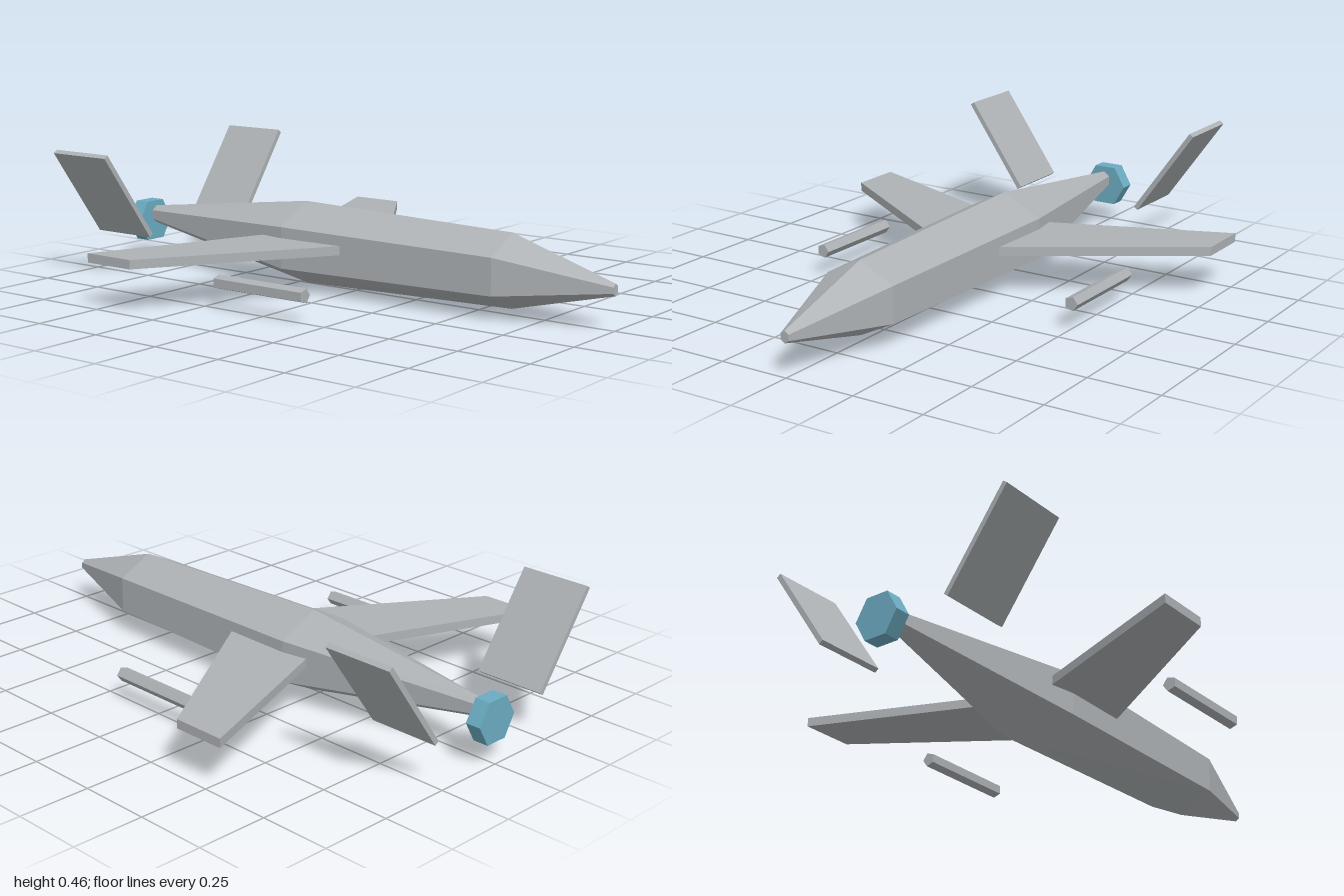
import * as THREE from 'three';

const grey = new THREE.MeshStandardMaterial({ color: 0xaeb2b5, flatShading: true });
grey.name = 'hull grey';
const teal = new THREE.MeshStandardMaterial({ color: 0x6cacc2, flatShading: true });
teal.name = 'engine teal';

function part(name, geometry, material) {
  const mesh = new THREE.Mesh(geometry, material);
  mesh.name = name;
  return mesh;
}

// Six-sided hull lofted through sections [z, centreY, halfWidth, halfHeight], nose to tail
function hullGeometry(sections) {
  const sides = 6;
  const rings = sections.map(([z, cy, hw, hh]) =>
    Array.from({ length: sides }, (_, i) => {
      const a = (i / sides) * Math.PI * 2;
      return [Math.sin(a) * hw / Math.sin(Math.PI / 3), cy + Math.cos(a) * hh, z];
    }));
  const pos = [];
  const tri = (...corners) => corners.forEach((c) => pos.push(...c));
  const last = rings.length - 1;
  const centre = (s) => [0, sections[s][1], sections[s][0]];
  for (let i = 0; i < sides; i++) {
    const j = (i + 1) % sides;
    for (let s = 0; s < last; s++) {
      const a = rings[s], b = rings[s + 1];
      tri(a[i], a[j], b[i]);
      tri(a[j], b[j], b[i]);
    }
    tri(centre(0), rings[0][j], rings[0][i]);
    tri(centre(last), rings[last][i], rings[last][j]);
  }
  const g = new THREE.BufferGeometry();
  g.setAttribute('position', new THREE.Float32BufferAttribute(pos, 3));
  g.computeVertexNormals();
  return g;
}

// Swept flat wing, outlined in plan as [x, z] and extruded upward
function wingGeometry(side) {
  const outline = [[0.137, 0.035], [0.735, -0.36], [0.735, -0.55], [0.13, -0.31]];
  const shape = new THREE.Shape(outline.map(([x, z]) => new THREE.Vector2(side * x, -z)));
  return new THREE.ExtrudeGeometry(shape, { depth: 0.031, bevelEnabled: false })
    .rotateX(-Math.PI / 2).translate(0, 0.153, 0);
}

export function createModel() {
  const model = new THREE.Group();
  model.name = 'aircraft';

  model.add(part('fuselage', hullGeometry([
    [1, 0.136, 0.015, 0.02],
    [0.625, 0.15, 0.127, 0.125],
    [-0.217, 0.15, 0.145, 0.145],
    [-0.937, 0.176, 0.023, 0.032],
  ]), grey));

  for (const [label, side] of [['left', 1], ['right', -1]]) {
    model.add(part(label + 'Wing', wingGeometry(side), grey));

    // Outward-leaning tail fin
    const fin = part(label + 'TailFin', new THREE.BoxGeometry(0.018, 0.373, 0.25), grey);
    fin.position.set(side * 0.36, 0.305, -0.85);
    fin.rotation.z = -side * 0.615;
    model.add(fin);

    // Five-sided pod slung below the wing
    const pod = new THREE.CylinderGeometry(0.025, 0.025, 0.365, 5, 1, false, Math.PI / 2)
      .rotateX(Math.PI / 2).translate(side * 0.503, 0.095, -0.007);
    model.add(part(label + 'Pod', pod, grey));
  }

  // Hexagonal engine nozzle
  const nozzle = new THREE.CylinderGeometry(0.083, 0.083, 0.055, 6, 1, false, Math.PI / 2)
    .rotateX(Math.PI / 2).translate(0, 0.153, -0.9725);
  model.add(part('engineNozzle', nozzle, teal));

  return model;
}
